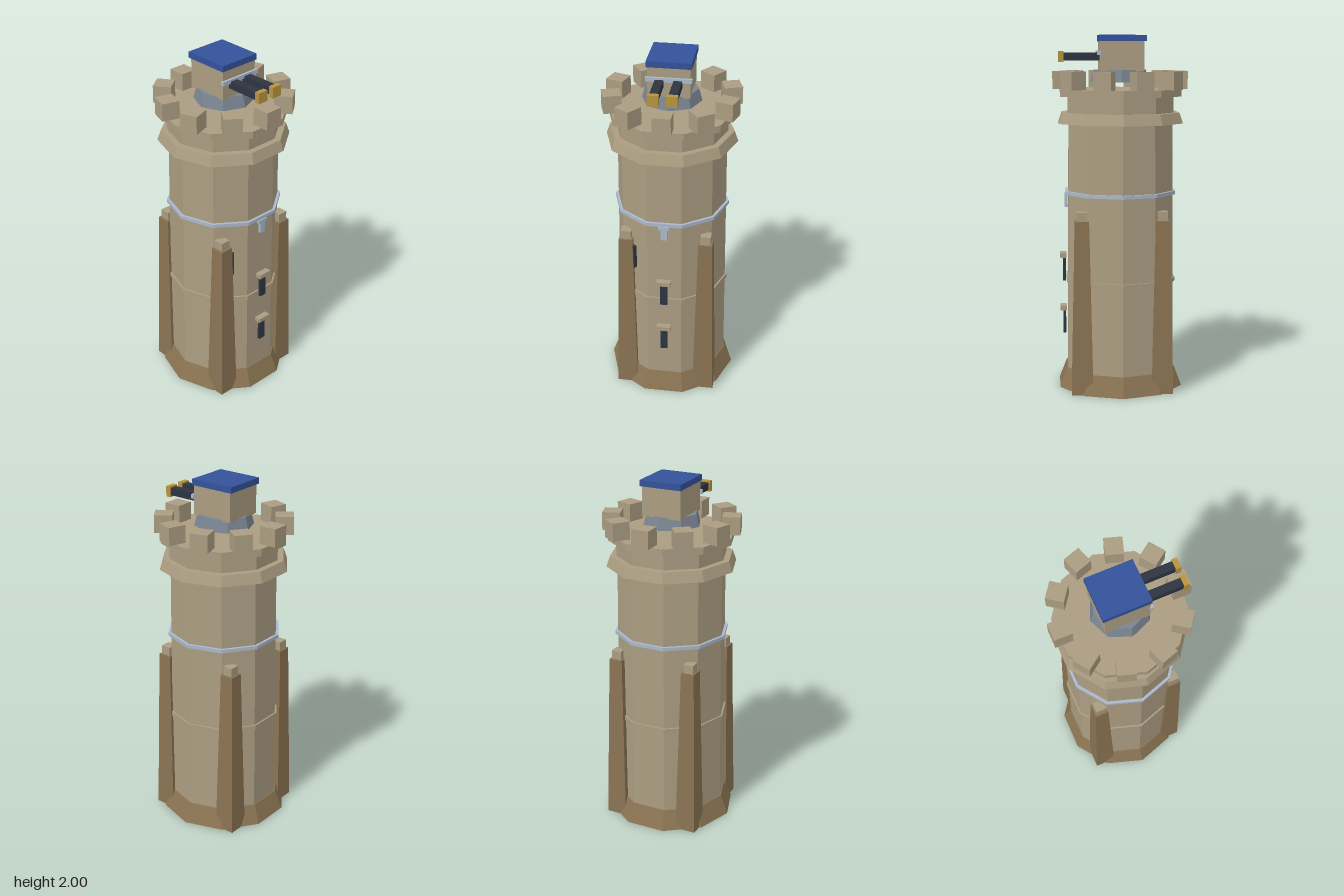
import * as THREE from 'three';

const mat = (name, color) => {
  const m = new THREE.MeshStandardMaterial({ color });
  m.name = name;
  return m;
};

export function createModel() {
  const stone = mat('stone', 0xab9d82);
  const brown = mat('brownStone', 0x8a7352);
  const steel = mat('paleSteel', 0xabb8cb);
  const grey = mat('greyMetal', 0x7a8592);
  const dark = mat('darkMetal', 0x2d3541);
  const gold = mat('brass', 0xb8943f);
  const blue = mat('blueRoof', 0x34529a);

  const tower = new THREE.Group();
  tower.name = 'tower';

  const add = (name, geometry, material, parent = tower) => {
    const flat = geometry.toNonIndexed(); // faceted normals
    flat.computeVertexNormals();
    const mesh = new THREE.Mesh(flat, material);
    mesh.name = name;
    parent.add(mesh);
    return mesh;
  };

  // Box given by its limits on each axis
  const box = (name, material, [x0, x1], [y0, y1], [z0, z1], parent) =>
    add(name, new THREE.BoxGeometry(x1 - x0, y1 - y0, z1 - z0)
      .translate((x0 + x1) / 2, (y0 + y1) / 2, (z0 + z1) / 2), material, parent);

  // Upright tapered prism with a given number of sides
  const prism = (name, material, rBottom, rTop, y0, y1, sides = 10, turn = Math.PI / 10, parent) =>
    add(name, new THREE.CylinderGeometry(rTop, rBottom, y1 - y0, sides, 1, false, turn)
      .translate(0, (y0 + y1) / 2, 0), material, parent);

  // Ten-sided shaft with its base, bands and crown
  prism('plinth', brown, 0.366, 0.323, 0, 0.11);
  prism('shaft', stone, 0.316, 0.305, 0.11, 1.52);
  prism('stoneBand', stone, 0.322, 0.322, 0.61, 0.635);
  prism('steelBand', steel, 0.324, 0.324, 1.11, 1.13);
  prism('cornice', stone, 0.366, 0.345, 1.51, 1.57);
  prism('neck', stone, 0.31, 0.31, 1.56, 1.67);
  prism('deck', stone, 0.355, 0.355, 1.66, 1.7);

  // Battlements
  for (let i = 0; i < 10; i++) {
    const merlon = box('merlon', stone, [-0.05, 0.05], [1.7, 1.8], [0.28, 0.38]);
    merlon.rotation.y = (i * Math.PI) / 5;
  }

  // Four tapered corner buttresses with caps
  for (const sx of [-1, 1]) {
    for (const sz of [-1, 1]) {
      const buttress = new THREE.Group();
      buttress.name = 'buttress';
      buttress.position.set(sx * 0.224, 0, sz * 0.224);
      tower.add(buttress);
      prism('buttressShaft', brown, 0.06 * Math.SQRT2, 0.039 * Math.SQRT2, 0, 0.98, 4, Math.PI / 4, buttress);
      box('buttressCap', stone, [-0.029, 0.029], [0.98, 1.03], [-0.029, 0.029], buttress);
    }
  }

  // Arrow slits with lintels on the front, and one beside a buttress
  for (const y of [0.298, 0.605]) {
    box('arrowSlit', dark, [-0.02, 0.02], [y, y + 0.135], [0.311, 0.327]);
    box('lintel', stone, [-0.04, 0.04], [y + 0.135, y + 0.16], [0.307, 0.343]);
  }
  const sideSlit = box('sideSlit', dark, [-0.016, 0.016], [0.8, 0.94], [0.3, 0.318]);
  sideSlit.rotation.y = -Math.PI / 5;

  // Steel bracket hanging from the band
  box('bracket', steel, [-0.018, 0.018], [1.03, 1.1], [0.298, 0.315]);
  box('bracketHead', steel, [-0.03, 0.03], [1.092, 1.112], [0.298, 0.315]);

  // Gun turret
  const turret = new THREE.Group();
  turret.name = 'turret';
  tower.add(turret);
  prism('turretBase', grey, 0.165, 0.147, 1.74, 1.808, 8, 0, turret);
  box('turretBody', stone, [-0.115, 0.115], [1.8, 1.968], [-0.13, 0.117], turret);
  box('turretRoof', blue, [-0.122, 0.122], [1.966, 2], [-0.143, 0.122], turret);
  box('turretStrip', steel, [-0.125, 0.125], [1.89, 1.913], [0.112, 0.131], turret);
  for (const x of [-0.05, 0.05]) {
    box('barrel', dark, [x - 0.023, x + 0.023], [1.86, 1.902], [0.11, 0.322], turret);
    box('muzzle', gold, [x - 0.03, x + 0.03], [1.85, 1.91], [0.318, 0.347], turret);
  }

  return tower;
}
